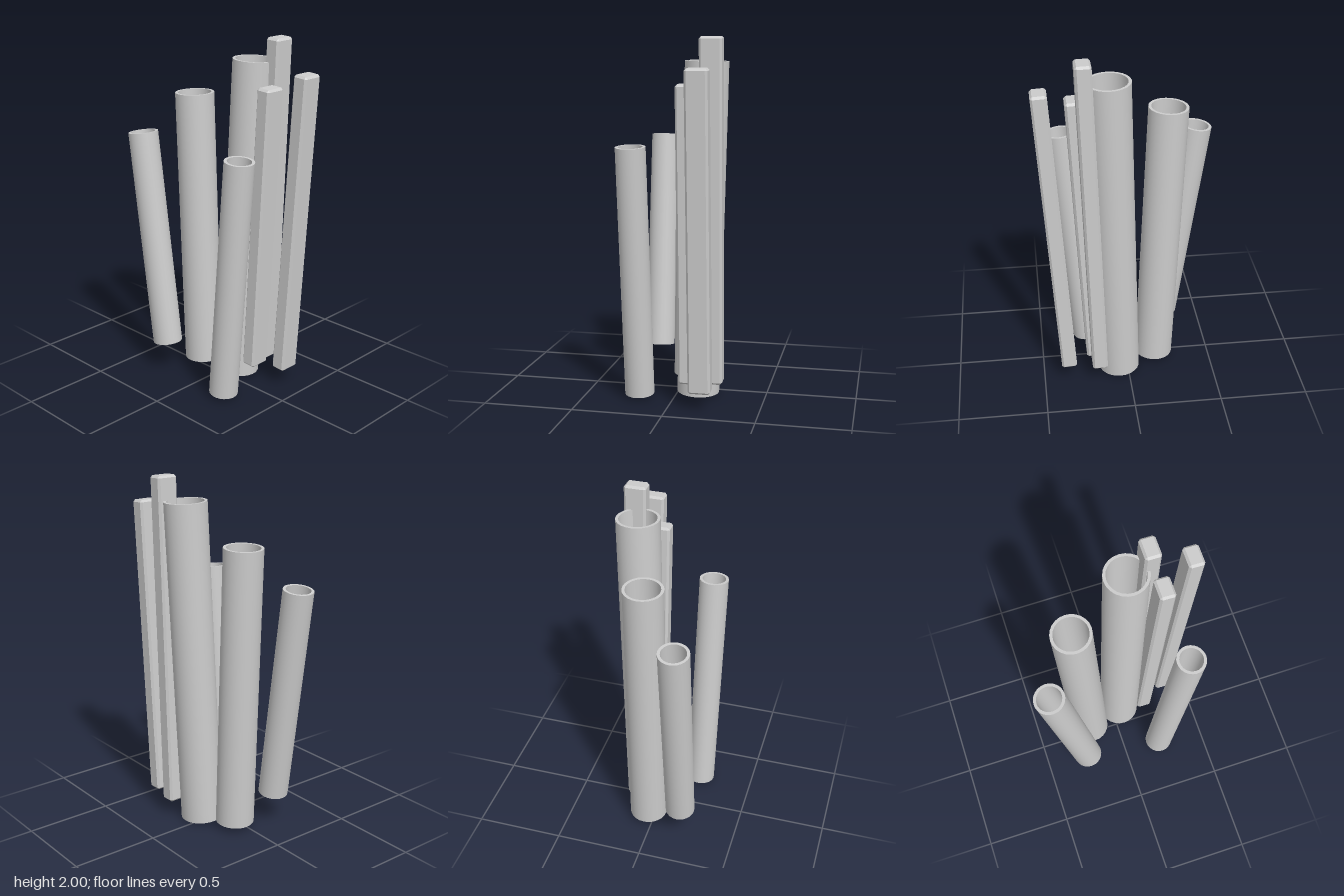
import * as THREE from 'three';
import { toCreasedNormals } from 'three/addons/utils/BufferGeometryUtils.js';
import { ConvexGeometry } from 'three/addons/geometries/ConvexGeometry.js';

const UP = new THREE.Vector3(0, 1, 0);

// Hollow pipe along y, centred on the origin, open at both ends
function pipeGeometry(length, outer, inner) {
  const h = length / 2;
  const profile = [[outer, -h], [outer, h], [inner, h], [inner, -h], [outer, -h]]
    .map(([r, y]) => new THREE.Vector2(r, y));
  return toCreasedNormals(new THREE.LatheGeometry(profile, 24), 0.6);
}

// Rectangular bar along y with every edge chamfered
function barGeometry(width, length, depth, chamfer) {
  const half = [width / 2, length / 2, depth / 2];
  const points = [];
  for (const sx of [-1, 1]) for (const sy of [-1, 1]) for (const sz of [-1, 1]) {
    for (let face = 0; face < 3; face++) {
      const p = half.map((v, axis) => (axis === face ? v : v - chamfer));
      points.push(new THREE.Vector3(sx * p[0], sy * p[1], sz * p[2]));
    }
  }
  return new ConvexGeometry(points);
}

export function createModel() {
  const model = new THREE.Group();
  const lightGrey = new THREE.MeshStandardMaterial({ color: 0xcccccc });
  lightGrey.name = 'lightGrey';

  // Places a part so that its axis runs from the bottom point to the top point
  function addLeaning(name, bottom, top, makeGeometry) {
    const a = new THREE.Vector3(...bottom);
    const b = new THREE.Vector3(...top);
    const axis = b.clone().sub(a);
    const mesh = new THREE.Mesh(makeGeometry(axis.length()), lightGrey);
    mesh.name = name;
    mesh.position.copy(a).add(b).multiplyScalar(0.5);
    mesh.quaternion.setFromUnitVectors(UP, axis.normalize());
    model.add(mesh);
  }

  // Pipes: name, bottom centre, top centre, outer radius, inner radius
  const pipes = [
    ['rightSmallPipe', [-0.251, 0.185, 0.18], [-0.426, 1.432, 0.18], 0.085, 0.069],
    ['rightLargePipe', [-0.167, 0.04, -0.038], [-0.23, 1.656, -0.038], 0.11, 0.094],
    ['tallCentrePipe', [0.05, 0.008, -0.112], [0.105, 1.87, -0.166], 0.12, 0.104],
    ['leftSmallPipe', [0.221, 0.03, 0.189], [0.345, 1.42, 0.202], 0.082, 0.066],
  ];
  for (const [name, bottom, top, outer, inner] of pipes) {
    addLeaning(name, bottom, top, (length) => pipeGeometry(length, outer, inner));
  }

  // Bars: name, bottom centre, top centre
  const bars = [
    ['tallBar', [0.175, 0.1, -0.213], [0.24, 1.998, -0.213]],
    ['shortBar', [0.199, 0.1, -0.094], [0.286, 1.75, -0.094]],
    ['outerBar', [0.353, 0.1, -0.179], [0.464, 1.834, -0.179]],
  ];
  for (const [name, bottom, top] of bars) {
    addLeaning(name, bottom, top, (length) => barGeometry(0.088, length, 0.123, 0.012));
  }

  return model;
}
